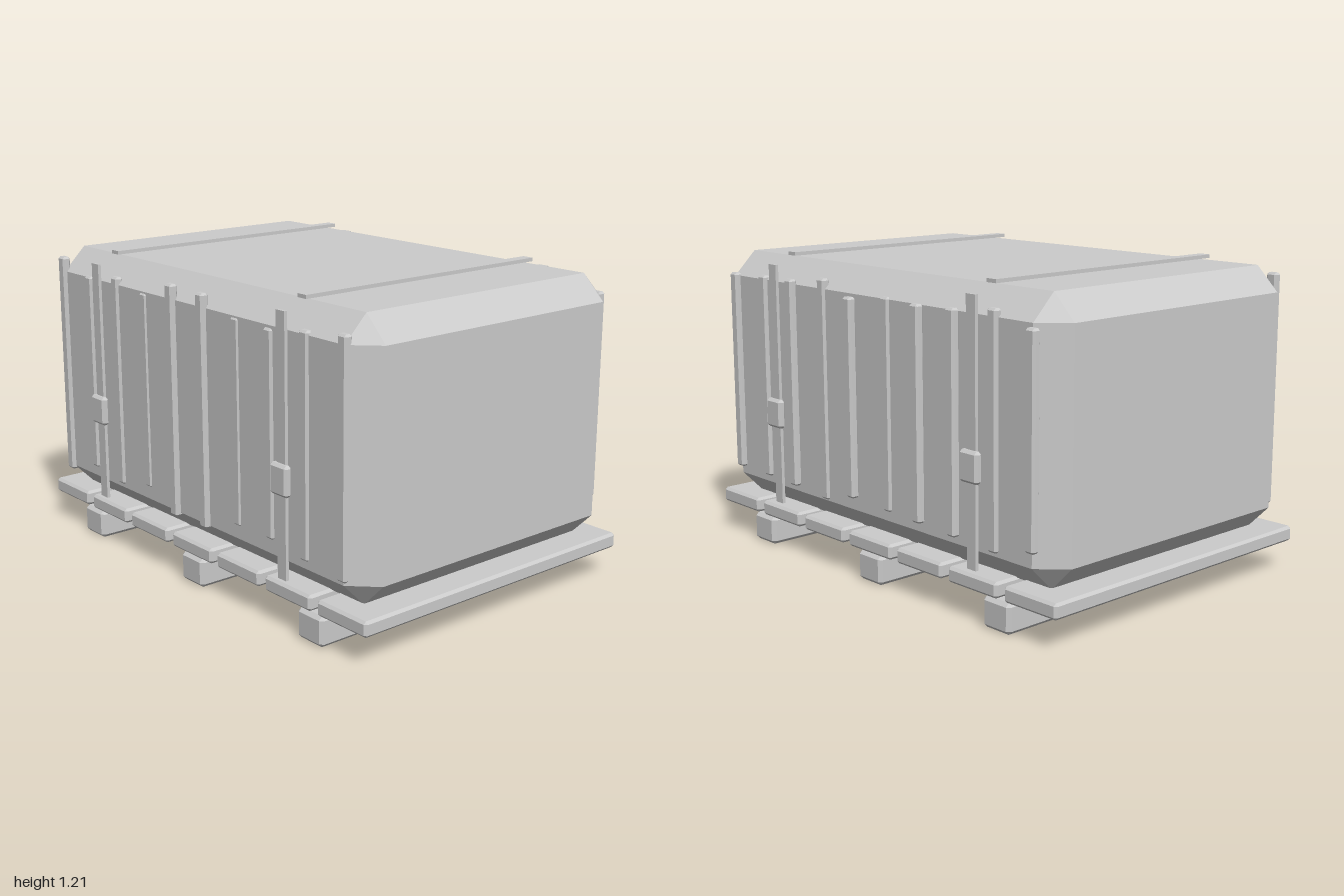
import * as THREE from 'three';
import { ConvexGeometry } from 'three/addons/geometries/ConvexGeometry.js';

const material = new THREE.MeshStandardMaterial({ color: 0xcccccc, flatShading: true });

// Box with every edge cut at 45 degrees
function chamferBox(w, h, d, c) {
  const points = [];
  for (const sx of [-1, 1]) for (const sy of [-1, 1]) for (const sz of [-1, 1]) {
    for (let axis = 0; axis < 3; axis++) {
      const inset = [c, c, c];
      inset[axis] = 0;
      points.push(new THREE.Vector3(
        sx * (w / 2 - inset[0]), sy * (h / 2 - inset[1]), sz * (d / 2 - inset[2])));
    }
  }
  return new ConvexGeometry(points);
}

export function createModel() {
  const model = new THREE.Group();
  model.name = 'strappedCrate';

  function add(name, geometry, x, y, z) {
    const mesh = new THREE.Mesh(geometry, material);
    mesh.name = name;
    mesh.position.set(x, y, z);
    model.add(mesh);
  }

  // Pallet: three runners carrying seven deck planks
  for (const x of [-0.705, 0, 0.705]) {
    add('palletRunner', chamferBox(0.137, 0.116, 1.31, 0.014), x, 0.058, 0);
  }
  for (let i = -3; i <= 3; i++) {
    add('palletPlank', chamferBox(0.255, 0.06, 1.31, 0.01), i * 0.2907, 0.147, 0);
  }

  // Crate body
  add('crateBody', chamferBox(1.93, 1.025, 1.28, 0.095), 0, 0.6825, 0);

  // Upright ribs, each of its own height and depth: [top, outer z]
  const ribs = {
    front: [[1.16, 0.655], [1.105, 0.65], [1.13, 0.65], [1.095, 0.646], [1.16, 0.66],
      [1.155, 0.66], [1.095, 0.646], [1.09, 0.65], [1.115, 0.65], [1.135, 0.647]],
    back: [[1.086, 0.665], [1.13, 0.655], [1.112, 0.675], [1.105, 0.673], [1.108, 0.65],
      [1.09, 0.675], [1.14, 0.65], [1.12, 0.665], [1.117, 0.655], [1.112, 0.662]],
  };
  for (const [side, list] of Object.entries(ribs)) {
    const s = side === 'front' ? 1 : -1;
    list.forEach(([top, outer], i) => {
      add(side + 'Rib', chamferBox(0.046, 2 * top - 1.41, 0.034, 0.008),
        -0.877 + i * 0.193, 0.705, s * (outer - 0.017));
    });
  }

  // Straps over the top and down both faces, with buckles
  for (const x of [-0.595, 0.57]) {
    add('topStrap', new THREE.BoxGeometry(0.046, 0.014, 1.14), x, 1.206, 0);
    for (const s of [-1, 1]) {
      add('sideStrap', new THREE.BoxGeometry(0.046, 0.97, 0.013), x, 0.685, s * 0.659);
      add('buckle', chamferBox(0.093, 0.116, 0.032, 0.01), x, 0.573, s * 0.668);
    }
  }
  return model;
}
